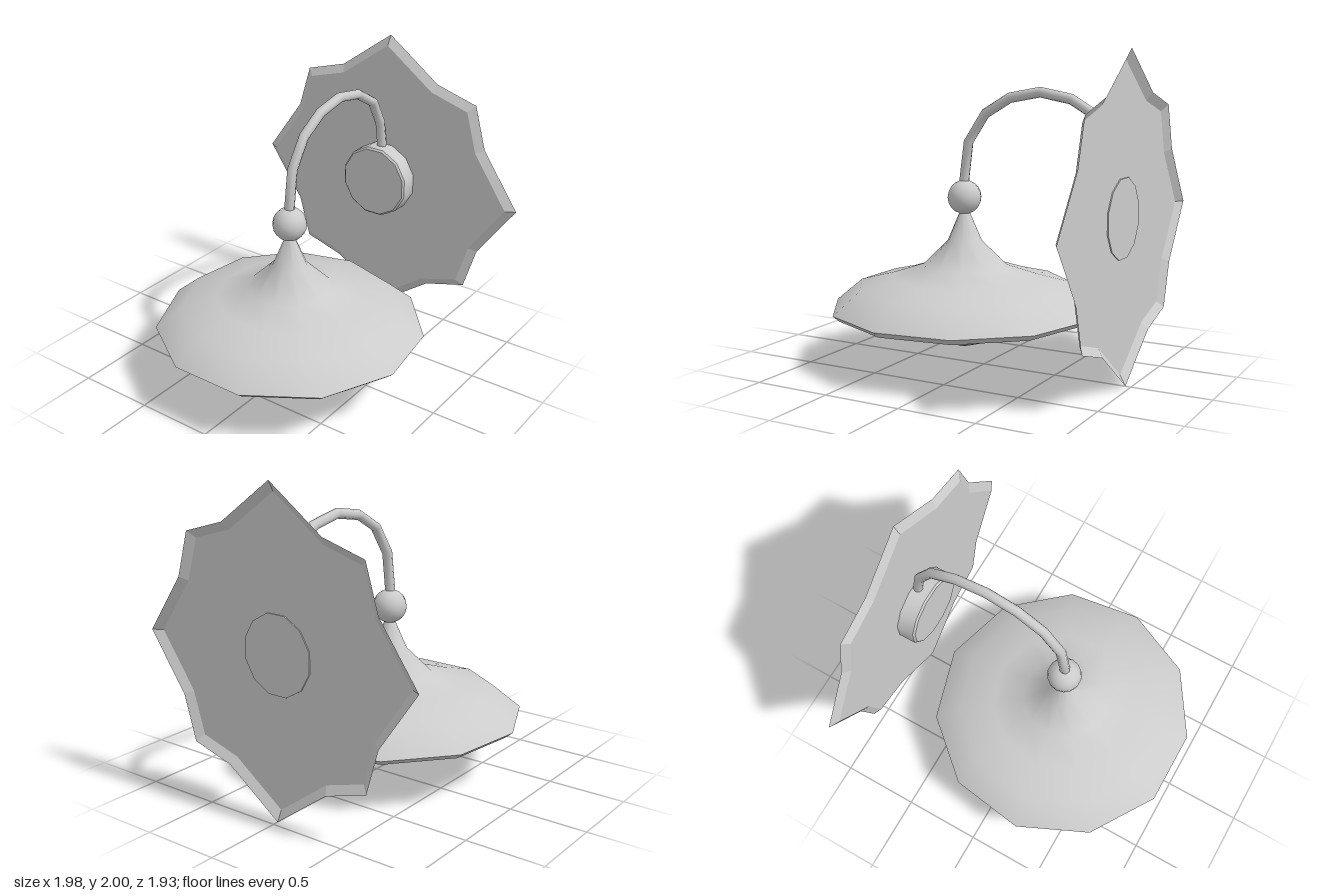
import * as THREE from 'three';
import { toCreasedNormals } from 'three/addons/utils/BufferGeometryUtils.js';

const LAMP_Z = 0.14;   // axis of shade, ball and bulb
const PLATE_Y = 1.0;   // centre of wall plate and mount

// Eight-pointed star outline: long and short tips with notches between
function starOutline(scale) {
  const deg = Math.PI / 180, pts = [];
  for (let q = 0; q < 4; q++) {
    for (const [r, a] of [[q % 2 ? 1 : 0.99, 0], [0.82, 26.5], [0.92, 45], [0.82, 63.5]]) {
      const t = (q * 90 + a) * deg;
      pts.push([Math.cos(t) * r * scale, Math.sin(t) * r * scale]);
    }
  }
  return pts;
}

// Thin dished plate, open at the back: flat front face and a sloping rim
function plateGeometry() {
  const outer = starOutline(1), inner = starOutline(0.935), pos = [];
  const zBack = -0.965, zFront = -0.93;
  for (let i = 0; i < outer.length; i++) {
    const j = (i + 1) % outer.length;
    const a = [...outer[i], zBack], b = [...outer[j], zBack];
    const c = [...inner[j], zFront], d = [...inner[i], zFront];
    pos.push(...a, ...b, ...c, ...a, ...c, ...d);
    pos.push(0, 0, zFront, ...d, ...c);
  }
  const g = new THREE.BufferGeometry();
  g.setAttribute('position', new THREE.Float32BufferAttribute(pos, 3));
  g.computeVertexNormals();
  return g;
}

function lathe(points, sides, start = 0) {
  const g = new THREE.LatheGeometry(points.map(p => new THREE.Vector2(...p)), sides, start);
  return toCreasedNormals(g, 0.7);
}

export function createModel() {
  const model = new THREE.Group();
  model.name = 'wallLamp';
  const smooth = new THREE.MeshStandardMaterial({ color: 0xcccccc });
  const open = new THREE.MeshStandardMaterial({ color: 0xcccccc, side: THREE.DoubleSide });
  const faceted = new THREE.MeshStandardMaterial({ color: 0xcccccc, flatShading: true });

  const add = (name, geometry, material, x, y, z) => {
    const mesh = new THREE.Mesh(geometry, material);
    mesh.name = name;
    mesh.position.set(x, y, z);
    model.add(mesh);
    return mesh;
  };

  // Star-shaped wall plate
  add('wallPlate', plateGeometry(), open, 0, PLATE_Y, 0);

  // Round mount with a small chamfer, just piercing the plate
  const mount = lathe([[0, 0], [0.247, 0], [0.247, 0.12], [0.235, 0.132], [0, 0.132]], 12, Math.PI / 12);
  mount.rotateX(Math.PI / 2);
  add('mount', mount, smooth, 0, PLATE_Y + 0.01, -0.937);

  // Bent arm: one tube ring at each point of the path (z, y)
  const path = [[0.14, 1.1], [0.14, 1.19], [0.11, 1.42], [-0.01, 1.6], [-0.18, 1.7], [-0.385, 1.738],
    [-0.59, 1.7], [-0.77, 1.595], [-0.87, 1.42], [-0.9, 1.25], [-0.9, 1.15]];
  const curve = new THREE.CatmullRomCurve3(path.map(([z, y]) => new THREE.Vector3(0, y, z)));
  curve.getPointAt = curve.getPoint;
  curve.getTangentAt = curve.getTangent;
  add('arm', new THREE.TubeGeometry(curve, path.length - 1, 0.032, 8), smooth, 0, 0, 0);

  // Ball joint between arm and shade
  add('ballJoint', new THREE.SphereGeometry(0.108, 14, 10), smooth, 0, 1.07, LAMP_Z);

  // Shade: inner wall down to the rim, then outer wall up to the neck
  const shade = lathe([
    [0.02, 0.93], [0.09, 0.77], [0.25, 0.605], [0.46, 0.535], [0.67, 0.485], [0.795, 0.375],
    [0.795, 0.33], [0.815, 0.33], [0.86, 0.368],
    [0.69, 0.51], [0.47, 0.567], [0.27, 0.632], [0.11, 0.79], [0.03, 0.98],
  ], 11, Math.PI);
  add('shade', shade, open, 0, 0, LAMP_Z);

  // Faceted bulb with a vertex pointing straight down
  const bulb = new THREE.IcosahedronGeometry(0.25, 1);
  bulb.rotateX(-Math.atan((1 + Math.sqrt(5)) / 2));
  add('bulb', bulb, faceted, 0, 0.348, LAMP_Z);

  return model;
}
